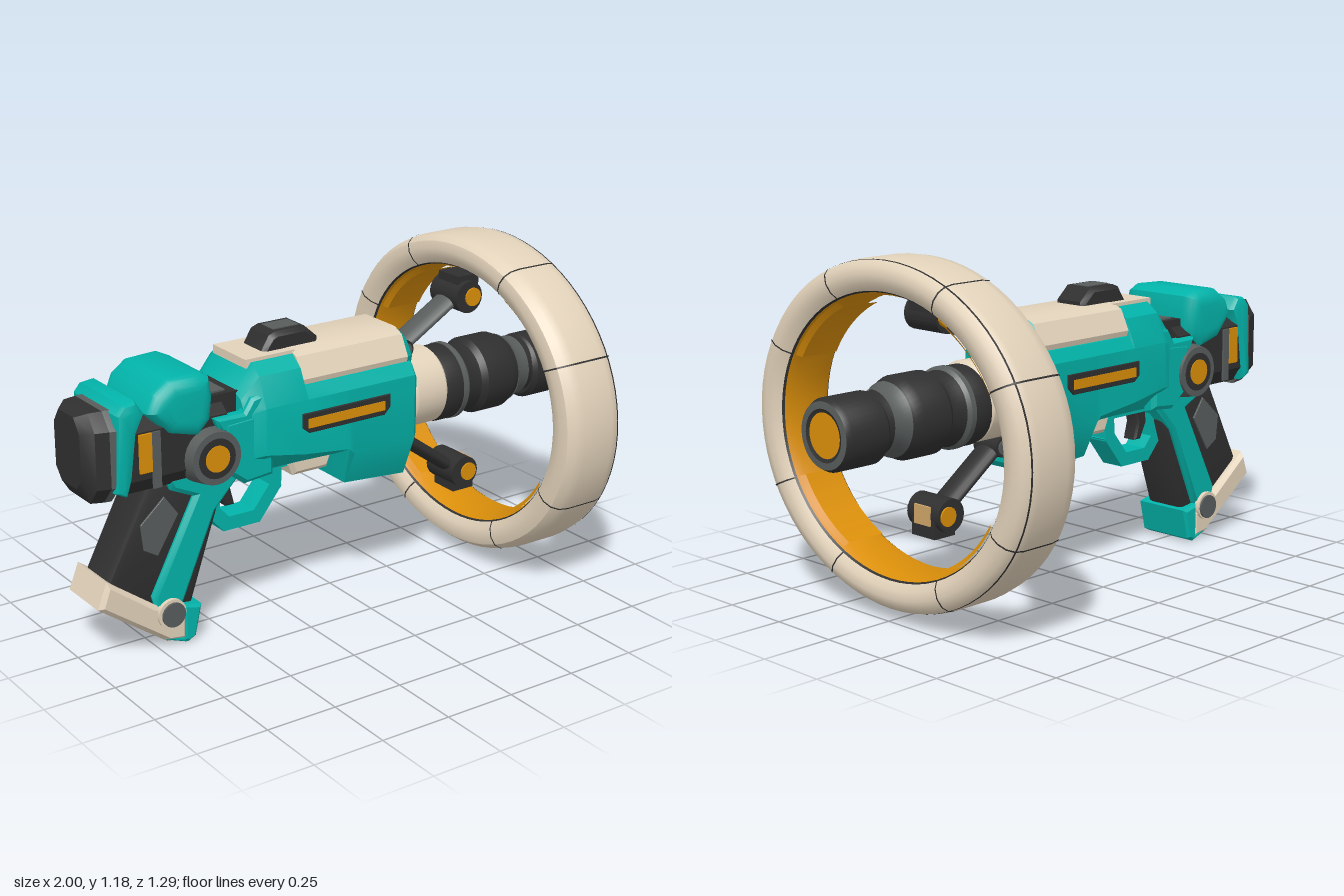
import * as THREE from 'three';
import { toCreasedNormals } from 'three/addons/utils/BufferGeometryUtils.js';

const material = (name, color) => new THREE.MeshStandardMaterial({ name, color });

export function createModel() {
  const teal = material('teal', 0x02b3a9);
  const cream = material('cream', 0xe2d2ba);
  const gold = material('gold', 0xdb8f0a);
  const dark = material('charcoal', 0x2f2f30);
  const grey = material('worn grey', 0x585d5c);
  const tan = material('tan', 0xcfa568);
  const model = new THREE.Group();
  const AXIS = 0.66; // height of the barrel axis

  function add(name, geometry, mat, x = 0, y = 0, z = 0) {
    const mesh = new THREE.Mesh(geometry, mat);
    mesh.name = name;
    mesh.position.set(x, y, z);
    model.add(mesh);
    return mesh;
  }
  const box = (w, h, d) => new THREE.BoxGeometry(w, h, d);

  // Side outline extruded across z, with bevelled edges
  function plate(points, half, bevel = 0.015, segments = 1) {
    const shape = new THREE.Shape(points.map(([x, y]) => new THREE.Vector2(x, y)));
    const g = new THREE.ExtrudeGeometry(shape, {
      depth: 2 * (half - bevel), steps: 1, bevelEnabled: true, bevelSize: bevel,
      bevelThickness: bevel, bevelOffset: -bevel, bevelSegments: segments,
    });
    g.translate(0, 0, -(half - bevel));
    return toCreasedNormals(g, 0.6);
  }

  // Skin over mirrored half sections [x, [[z, y], ...top to bottom]]
  function loft(sections) {
    const rings = sections.map(([x, half]) => [
      ...half.map(([z, y]) => [x, y, z]),
      ...[...half].reverse().map(([z, y]) => [x, y, -z]),
    ]);
    const n = rings[0].length, index = [], last = (rings.length - 1) * n;
    for (let k = 0; k < rings.length - 1; k++) {
      for (let i = 0; i < n; i++) {
        const a = k * n + i, b = k * n + (i + 1) % n;
        index.push(a, b, b + n, a, b + n, a + n);
      }
    }
    for (let i = 1; i < n - 1; i++) index.push(last, last + i, last + i + 1, 0, i + 1, i);
    const g = new THREE.BufferGeometry();
    g.setAttribute('position', new THREE.Float32BufferAttribute(rings.flat(2), 3));
    g.setIndex(index);
    return toCreasedNormals(g, 0.5);
  }

  // Profile of [radius, x] turned about the x axis, fully or over an arc
  function turned(profile, segments = 40, start = 0, sweep = Math.PI * 2) {
    const points = profile.map(([r, x]) => new THREE.Vector2(r, x));
    const g = new THREE.LatheGeometry(points, segments, start, sweep);
    return toCreasedNormals(g.rotateZ(-Math.PI / 2), 0.6);
  }
  const discZ = (r1, r2, h, n = 28) => new THREE.CylinderGeometry(r1, r2, h, n).rotateX(Math.PI / 2);

  // Oval hoop: cream shell, dark lips, gold lining
  const addHoop = (name, mat, ...args) => { add(name, turned(...args), mat, 0, 0.605).scale.z = 1.133; };
  const shell = [[0.468, 0.548], [0.49, 0.532], [0.52, 0.525], [0.548, 0.533], [0.565, 0.555],
    [0.571, 0.59], [0.571, 0.71], [0.565, 0.74], [0.548, 0.76], [0.52, 0.768], [0.49, 0.762], [0.468, 0.745]];
  addHoop('hoopShell', cream, shell, 72);
  addHoop('hoopLip', dark, [[0.468, 0.745], [0.463, 0.738]], 72);
  addHoop('hoopLining', gold, [[0.463, 0.738], [0.452, 0.71], [0.452, 0.58], [0.463, 0.555]], 72);
  addHoop('hoopLip', dark, [[0.463, 0.555], [0.468, 0.548]], 72);
  addHoop('hoopPinstripe', dark, [[0.5675, 0.736], [0.566, 0.742]], 72);

  // Thicker lining panels and shell seams, one set in each quarter
  const raisedShell = shell.map(([r, x]) => [r + (r - 0.515) * 0.03, x + (x - 0.647) * 0.015]);
  const rad = Math.PI / 180;
  for (let q = 0; q < 4; q++) {
    const at = (deg) => (q % 2 ? 180 - deg : deg) * rad + (q > 1 ? Math.PI : 0);
    addHoop('liningPanel', gold, [[0.456, 0.735], [0.44, 0.72], [0.44, 0.575], [0.456, 0.56]], 12, at(45) - 18 * rad, 36 * rad);
    for (const deg of [27, 64.5]) addHoop('hoopSeam', dark, raisedShell, 1, at(deg) - 0.005, 0.01);
  }

  // Barrel
  add('barrelNeck', turned([[0, 0.2], [0.115, 0.2], [0.115, 0.29]]), dark, 0, 0.67);
  add('barrelCollar', turned([[0, 0.265], [0.125, 0.265], [0.138, 0.28], [0.138, 0.4], [0.125, 0.415], [0, 0.415]]), cream, 0, 0.672);
  add('barrelBody', turned([[0, 0.4], [0.13, 0.4], [0.135, 0.42], [0.135, 0.5], [0.122, 0.52], [0.122, 0.57],
    [0.138, 0.59], [0.138, 0.7], [0.125, 0.73], [0.102, 0.77], [0.102, 0.84]]), dark, 0, 0.665);
  add('barrelBand', turned([[0.12, 0.48], [0.138, 0.48], [0.138, 0.5], [0.12, 0.52]]), grey, 0, 0.665);
  add('barrelShoulder', turned([[0.1, 0.74], [0.123, 0.74], [0.106, 0.77], [0.106, 0.8]]), grey, 0, 0.665);
  add('muzzle', turned([[0, 0.82], [0.105, 0.82], [0.118, 0.835], [0.118, 0.98], [0.108, 0.998]]), dark, 0, AXIS - 0.005);
  add('muzzleRim', turned([[0.108, 0.998], [0.085, 1.0]]), grey, 0, AXIS - 0.005);
  add('muzzleLip', turned([[0.085, 1.0], [0.073, 0.995]]), dark, 0, AXIS - 0.005);
  add('muzzleCore', turned([[0.073, 0.995], [0, 0.995]]), gold, 0, AXIS - 0.005);

  // Main housing
  const top = [[0.105, 0.925], [0.15, 0.89], [0.19, 0.79]];
  const low = [[0.1, 0.84], [0.165, 0.83], [0.19, 0.79]];
  add('housing', loft([
    [-0.445, [[0.1, 0.84], [0.14, 0.82], [0.165, 0.77], [0.165, 0.62], [0.1, 0.56]]],
    [-0.38, [...top, [0.19, 0.63], [0.11, 0.545]]],
    [-0.22, [...top, [0.19, 0.6], [0.11, 0.545]]],
    [-0.215, [...low, [0.19, 0.6], [0.11, 0.545]]],
    [-0.05, [...low, [0.19, 0.58], [0.11, 0.54]]],
    [-0.03, [...low, [0.19, 0.56], [0.13, 0.435]]],
    [0.22, [...low, [0.19, 0.56], [0.13, 0.415]]],
    [0.245, [[0.09, 0.82], [0.14, 0.81], [0.165, 0.77], [0.165, 0.57], [0.11, 0.44]]],
  ]), teal);
  const cover = [[0.085, 0.938], [0.125, 0.92], [0.162, 0.85], [0.155, 0.825]];
  add('topCover', loft([[-0.22, cover], [0.21, cover]]), cream);
  add('topCoverNose', loft([[0.21, cover], [0.24, [[0.08, 0.91], [0.11, 0.895], [0.145, 0.845], [0.14, 0.82]]]]), teal);
  add('topStrip', box(0.19, 0.03, 0.2), cream, -0.305, 0.922);
  add('sightBlock', plate([[-0.32, 0.92], [-0.28, 0.985], [-0.255, 0.995], [-0.14, 0.995], [-0.09, 0.95], [-0.09, 0.92]], 0.068), dark);
  add('sightPad', box(0.1, 0.008, 0.07), grey, -0.2, 0.994);
  add('underBlock', plate([[-0.23, 0.56], [-0.2, 0.48], [-0.06, 0.48], [-0.03, 0.56]], 0.08), cream);

  // Side vents, pivots and rear lights
  const vent = [[-0.24, 0.745], [-0.24, 0.695], [-0.215, 0.675], [0.09, 0.675], [0.115, 0.7], [0.115, 0.745]];
  for (const s of [-1, 1]) {
    add('ventFrame', plate(vent, 0.006, 0.002), dark, 0, 0, s * 0.19);
    add('ventGlow', box(0.31, 0.033, 0.008), gold, -0.065, 0.709, s * 0.194);
    add('pivotRim', discZ(s > 0 ? 0.09 : 0.105, s > 0 ? 0.105 : 0.09, 0.08), grey, -0.565, 0.66, s * 0.145);
    add('pivotFace', discZ(0.068, 0.068, 0.008), dark, -0.565, 0.66, s * 0.184);
    add('pivotCore', discZ(0.045, 0.045, 0.008), gold, -0.565, 0.66, s * 0.187);
    add('rearLight', box(0.045, 0.13, 0.008), gold, -0.805, 0.72, s * 0.15);
    add('rearTrim', box(0.03, 0.19, 0.008), grey, -0.765, 0.69, s * 0.148);
    add('sideRail', plate([[-0.56, 0.785], [-0.54, 0.74], [-0.47, 0.72], [-0.35, 0.75], [-0.36, 0.84], [-0.42, 0.83], [-0.45, 0.785]],
      0.025, 0.01), teal, 0, 0, s * 0.148);
    add('sideFrame', plate([[-0.53, 0.77], [-0.53, 0.6], [-0.45, 0.54], [-0.34, 0.55], [-0.34, 0.78]], 0.03), teal, 0, 0, s * 0.145);
  }

  // Rear body
  const core = [[0.09, 0.835], [0.145, 0.79], [0.145, 0.63], [0.1, 0.575]];
  add('rearCore', loft([[-0.88, core], [-0.5, core]]), dark);
  add('bridge', box(0.2, 0.25, 0.22), dark, -0.5, 0.72);
  add('bridgeTrim', box(0.05, 0.008, 0.18), grey, -0.5, 0.847);
  add('rearDome', plate([[-0.79, 0.84], [-0.765, 0.9], [-0.71, 0.94], [-0.6, 0.945], [-0.56, 0.925], [-0.55, 0.86],
    [-0.56, 0.78], [-0.61, 0.73], [-0.72, 0.76]], 0.168, 0.05, 5), teal);
  add('rearBand', plate([[-0.91, 0.6], [-0.9, 0.86], [-0.875, 0.89], [-0.83, 0.895], [-0.8, 0.85], [-0.83, 0.79],
    [-0.85, 0.64], [-0.87, 0.58]], 0.155, 0.025, 2), teal);
  const capFront = [[0.087, 0.866], [0.133, 0.81], [0.133, 0.62], [0.077, 0.556]];
  add('rearCap', loft([
    [-1.0, [[0.05, 0.85], [0.085, 0.8], [0.085, 0.65], [0.05, 0.61]]],
    [-0.965, [[0.08, 0.865], [0.12, 0.81], [0.12, 0.62], [0.07, 0.56]]],
    [-0.92, capFront],
  ]), dark);
  add('rearCapRim', loft([[-0.92, capFront], [-0.895, [[0.09, 0.866], [0.14, 0.81], [0.14, 0.62], [0.08, 0.555]]]]), grey);

  // Grip
  add('grip', plate([[-0.76, 0.58], [-0.5, 0.58], [-0.49, 0.47], [-0.61, 0.12], [-0.72, 0.08], [-0.93, 0.25]], 0.085, 0.025, 2), dark);
  add('gripFrame', plate([[-0.71, 0.61], [-0.69, 0.55], [-0.605, 0.51], [-0.77, 0.19], [-0.74, 0.09], [-0.66, 0.13],
    [-0.525, 0.44], [-0.44, 0.53], [-0.41, 0.62]], 0.108), teal);
  add('gripBase', plate([[-0.935, 0.29], [-0.97, 0.2], [-0.72, 0.02], [-0.65, 0.012], [-0.645, 0.11], [-0.765, 0.165]], 0.112), cream);
  add('gripToe', plate([[-0.66, 0.01], [-0.645, 0.0], [-0.615, 0.015], [-0.59, 0.125], [-0.66, 0.14]], 0.114, 0.01), teal);
  add('gripSole', plate([[-0.73, 0.03], [-0.65, 0.0], [-0.64, 0.012], [-0.725, 0.04]], 0.106, 0.004), teal);
  for (const s of [-1, 1]) {
    add('gripBoltSeat', discZ(0.052, 0.052, 0.02, 20), cream, -0.71, 0.125, s * 0.112);
    add('gripBolt', discZ(0.043, 0.043, 0.03, 20), grey, -0.707, 0.123, s * 0.115);
    add('gripPatch', plate([[-0.8, 0.45], [-0.71, 0.53], [-0.66, 0.46], [-0.74, 0.33], [-0.79, 0.36]], 0.004, 0.001), grey, 0, 0, s * 0.087);
  }

  // Trigger and guard
  const guard = [[-0.49, 0.5], [-0.5, 0.41], [-0.45, 0.355], [-0.33, 0.355], [-0.255, 0.45], [-0.25, 0.55]];
  for (let i = 0; i < guard.length - 1; i++) {
    const [[x1, y1], [x2, y2]] = [guard[i], guard[i + 1]];
    const bar = add('triggerGuard', box(Math.hypot(x2 - x1, y2 - y1) + 0.025, 0.048, 0.09), teal, (x1 + x2) / 2, (y1 + y2) / 2);
    bar.rotation.z = Math.atan2(y2 - y1, x2 - x1);
  }
  add('guardRoof', box(0.26, 0.04, 0.16), teal, -0.36, 0.545);
  add('trigger', plate([[-0.46, 0.54], [-0.4, 0.54], [-0.42, 0.47], [-0.405, 0.41], [-0.44, 0.41], [-0.47, 0.47]], 0.03, 0.008), dark);

  // Struts joining the housing to the hoop
  for (const [name, y1, y2, mat] of [['upperStrut', 0.83, 0.98, grey], ['lowerStrut', 0.505, 0.325, dark]]) {
    const dx = 0.25, dy = y2 - y1;
    const rod = add(name, new THREE.CylinderGeometry(0.024, 0.024, Math.hypot(dx, dy), 16), mat, 0.405, (y1 + y2) / 2);
    rod.rotation.z = -Math.atan2(dx, dy);
    rod.scale.z = 2.2;
    add(name + 'Root', discZ(0.035, 0.035, 0.11, 16), dark, 0.28, y1);
    add(name + 'RootMount', box(0.06, 0.07, 0.09), dark, 0.255, y1 + (dy > 0 ? -0.03 : 0.03));
    add(name + 'Joint', discZ(0.057, 0.057, 0.15, 20), dark, 0.54, y2);
    for (const s of [-1, 1]) {
      add(name + 'RootCap', discZ(0.026, 0.026, 0.008, 16), grey, 0.28, y1, s * 0.056);
      add(name + 'JointCap', discZ(0.033, 0.033, 0.008, 16), gold, 0.555, y2, s * 0.077);
    }
    add(name + 'Foot', box(0.09, 0.09, 0.11), dark, 0.55, y2 + Math.sign(dy) * 0.03);
  }
  add('jointWindow', box(0.008, 0.065, 0.075), tan, 0.597, 0.325);

  return model;
}
